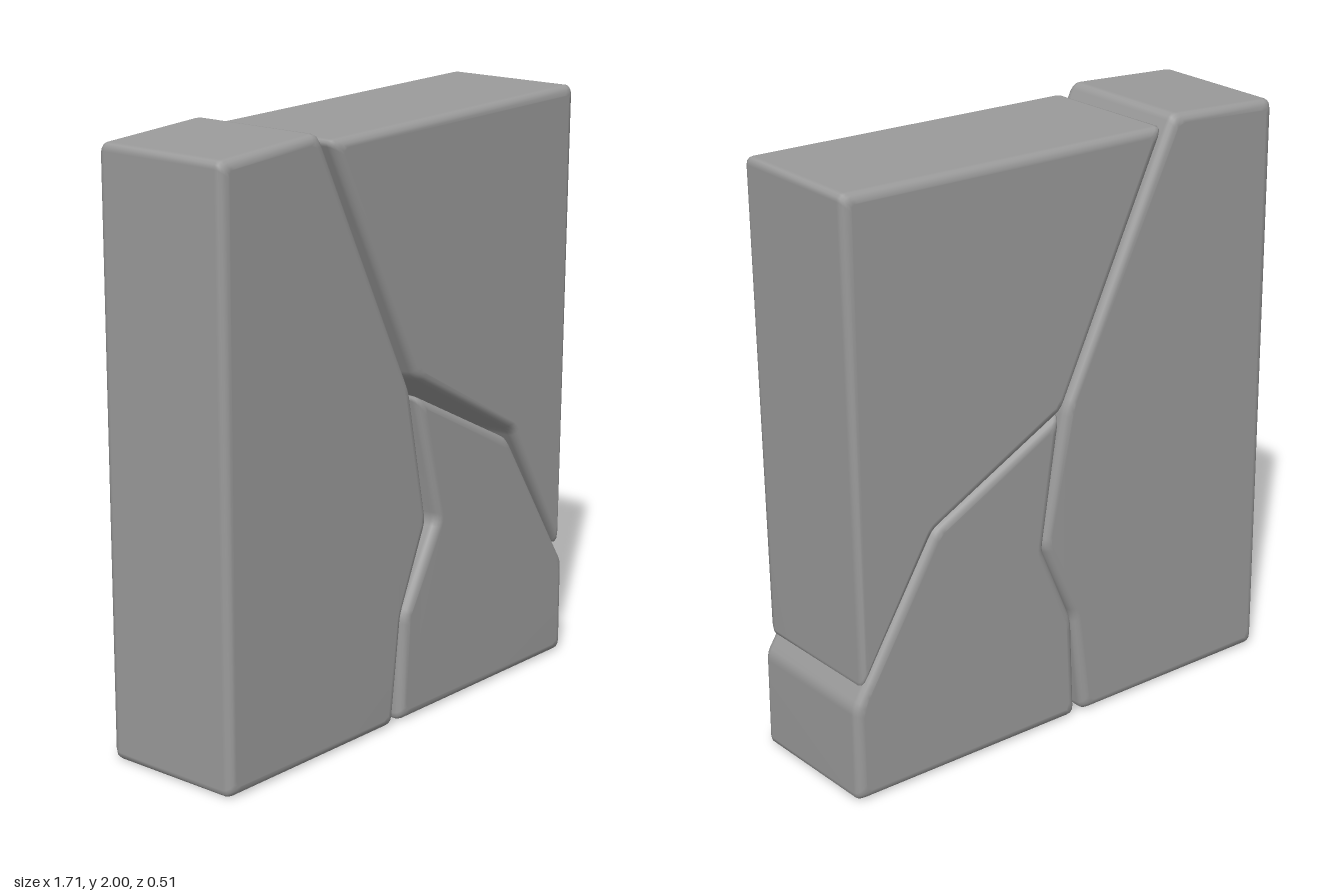
import * as THREE from 'three';

const HALF_DEPTH = 0.255, BEVEL = 0.03, STEPS = 4, CORNER_STEPS = 3;

// Move every corner of a counter-clockwise outline inwards by d
function inset(points, d) {
  const n = points.length;
  const normal = (a, b) => new THREE.Vector2(a[1] - b[1], b[0] - a[0]).normalize();
  return points.map((p, i) => {
    const n1 = normal(points[(i + n - 1) % n], p);
    const n2 = normal(p, points[(i + 1) % n]);
    const m = n1.clone().add(n2).normalize();
    const length = Math.min(d / Math.max(m.dot(n1), 0.1), d * 2);
    return [p[0] + m.x * length, p[1] + m.y * length];
  });
}

// Replace every corner by a short curve
function roundCorners(points, radius) {
  const n = points.length, out = [];
  points.forEach((c, i) => {
    const corner = new THREE.Vector2(...c);
    const towards = (q) => {
      const dir = new THREE.Vector2(...q).sub(corner);
      const cut = Math.min(radius, dir.length() * 0.3);
      return corner.clone().add(dir.setLength(cut));
    };
    const curve = new THREE.QuadraticBezierCurve(
      towards(points[(i + n - 1) % n]), corner, towards(points[(i + 1) % n]));
    out.push(...curve.getPoints(CORNER_STEPS));
  });
  return out;
}

// Slab between a back and a front outline, with rounded edges on both faces
function slabGeometry(back, front) {
  const rings = [];
  const addRing = (outline, side, angle) => {
    const ring = roundCorners(inset(outline, BEVEL * (1 - Math.cos(angle))), 0.025);
    rings.push({ ring, z: side * (HALF_DEPTH - BEVEL * (1 - Math.sin(angle))) });
  };
  for (let i = STEPS; i >= 0; i--) addRing(back, -1, (i / STEPS) * Math.PI / 2);
  for (let i = 0; i <= STEPS; i++) addRing(front, 1, (i / STEPS) * Math.PI / 2);

  const n = rings[0].ring.length, last = (rings.length - 1) * n;
  const positions = [], index = [];
  rings.forEach(({ ring, z }) => ring.forEach((p) => positions.push(p.x, p.y, z)));
  for (let r = 0; r < rings.length - 1; r++) {
    for (let i = 0; i < n; i++) {
      const a = r * n + i, b = r * n + (i + 1) % n;
      index.push(a, b, b + n, a, b + n, a + n);
    }
  }
  THREE.ShapeUtils.triangulateShape(rings[0].ring, [])
    .forEach(([a, b, c]) => index.push(a, c, b));
  THREE.ShapeUtils.triangulateShape(rings[rings.length - 1].ring, [])
    .forEach(([a, b, c]) => index.push(last + a, last + b, last + c));

  const geometry = new THREE.BufferGeometry();
  geometry.setAttribute('position', new THREE.Float32BufferAttribute(positions, 3));
  geometry.setIndex(index);
  geometry.computeVertexNormals();
  return geometry;
}

// Corner outlines, counter-clockwise; the cracks widen towards the front
const tallBack = [
  [-0.855, 0], [-0.07, 0], [-0.025, 0.37], [0.105, 0.66],
  [0.01, 1.12], [-0.425, 2.002], [-0.855, 1.975],
];
const tallFront = [
  [-0.855, 0], [-0.07, 0], [-0.025, 0.37], [0.1, 0.66],
  [0.01, 1.12], [-0.425, 2.002], [-0.855, 1.975],
];
const upperBack = [
  [-0.385, 1.972], [0.025, 1.115], [0.54, 0.85], [0.827, 0.385], [0.857, 2.0],
];
const upperFront = [
  [-0.375, 1.972], [0.04, 1.15], [0.55, 0.865], [0.827, 0.385], [0.857, 2.0],
];
const lowerBack = [
  [-0.04, 0], [0.855, 0], [0.855, 0.33], [0.82, 0.39],
  [0.535, 0.855], [0.03, 1.11], [0.1, 0.65], [-0.025, 0.36],
];
const lowerFront = [
  [-0.04, 0], [0.855, 0], [0.855, 0.33], [0.82, 0.385],
  [0.53, 0.845], [0.04, 1.095], [0.152, 0.65], [-0.02, 0.36],
];

export function createModel() {
  const group = new THREE.Group();
  group.name = 'crackedSlab';
  const material = new THREE.MeshStandardMaterial({ color: 0x9b9b9b });
  const pieces = {
    tallPiece: [tallBack, tallFront],
    upperPiece: [upperBack, upperFront],
    lowerPiece: [lowerBack, lowerFront],
  };
  for (const [name, [back, front]] of Object.entries(pieces)) {
    const mesh = new THREE.Mesh(slabGeometry(back, front), material);
    mesh.name = name;
    group.add(mesh);
  }
  return group;
}
